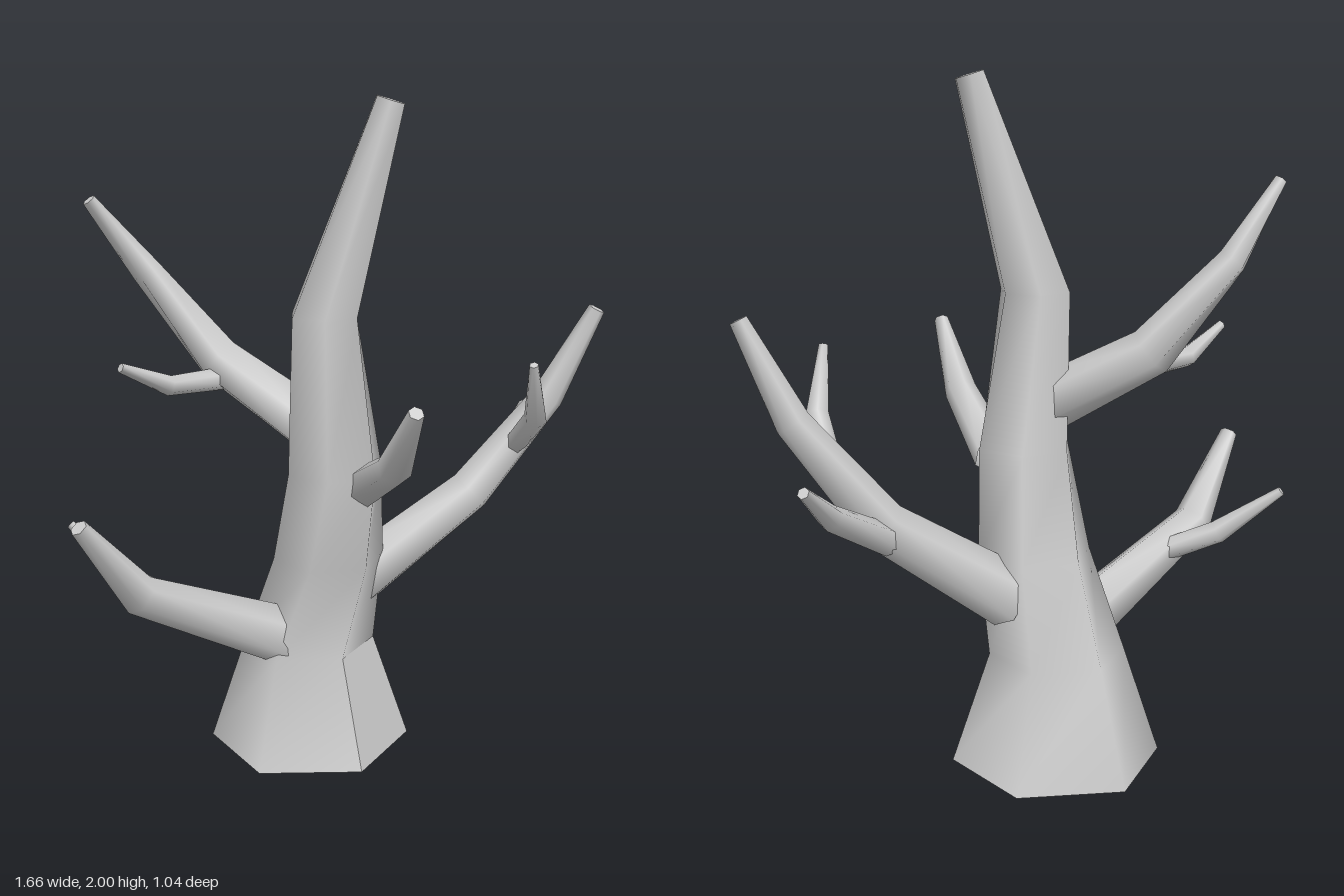
import * as THREE from 'three';

const SIDES = 6;
const material = new THREE.MeshStandardMaterial({ color: 0xcccccc, side: THREE.DoubleSide });

// Six-sided tapering limb. Each ring is [x, y, z, radius, twist].
// Smooth sides, flat tip, open base; flatPanel gives one lower facet hard edges.
function limbGeometry(rings, { level = false, flatPanel = -1 } = {}) {
  const centers = rings.map(([x, y, z]) => new THREE.Vector3(x, y, z));
  const reference = level ? new THREE.Vector3(0, 0, 1) : new THREE.Vector3(0, 1, 0);
  const last = rings.length - 1;
  const loops = rings.map((ring, i) => {
    const tangent = new THREE.Vector3(0, 1, 0);
    if (!level || i === last) {
      tangent.set(0, 0, 0);
      if (i > 0) tangent.add(centers[i].clone().sub(centers[i - 1]).normalize());
      if (i < last) tangent.add(centers[i + 1].clone().sub(centers[i]).normalize());
      tangent.normalize();
    }
    const v = reference.clone().addScaledVector(tangent, -reference.dot(tangent)).normalize();
    const u = tangent.clone().cross(v);
    return Array.from({ length: SIDES }, (_, k) => {
      const a = (k / SIDES) * Math.PI * 2 + (ring[4] ?? 0);
      return centers[i].clone()
        .addScaledVector(u, Math.sin(a) * ring[3])
        .addScaledVector(v, Math.cos(a) * ring[3]);
    });
  });

  const points = loops.flat();
  const index = [];
  const quad = (a, b, c, d) => index.push(a, b, c, a, c, d);
  for (let i = 0; i < last; i++) {
    for (let k = 0; k < SIDES; k++) {
      const n = (k + 1) % SIDES;
      const corners = [i * SIDES + k, i * SIDES + n, (i + 1) * SIDES + n, (i + 1) * SIDES + k];
      if (i === 0 && k === flatPanel) {
        const start = points.length;
        points.push(...corners.map((c) => points[c].clone()));
        quad(start, start + 1, start + 2, start + 3);
      } else quad(...corners);
    }
  }

  // Flat cut at the tip
  const cap = points.length;
  points.push(...loops[last].map((p) => p.clone()));
  for (let k = 1; k < SIDES - 1; k++) index.push(cap, cap + k, cap + k + 1);

  const geometry = new THREE.BufferGeometry().setFromPoints(points);
  geometry.setIndex(index);
  geometry.computeVertexNormals();
  return geometry;
}

const TRUNK = [
  [-0.03, 0, -0.19, 0.31, 0],
  [-0.03, 0.33, -0.19, 0.2, 0],
  [0, 0.62, -0.12, 0.17, 0.17],
  [-0.03, 0.92, -0.03, 0.147, 0.35],
  [-0.05, 1.38, -0.055, 0.107, 0.52],
  [0.11, 1.985, 0.04, 0.046, 0.52],
];

const BRANCHES = {
  // Large left branch and its two twigs
  leftBranch: [[0.1, 0.51, -0.14, 0.095], [0.47, 0.77, -0.04, 0.072], [0.68, 1.07, 0.07, 0.05], [0.785, 1.35, 0.16, 0.026]],
  leftBackTwig: [[0.46, 0.73, -0.06, 0.045], [0.7, 0.86, -0.15, 0.036], [0.82, 0.965, -0.222, 0.017]],
  leftFrontTwig: [[0.575, 0.93, 0.05, 0.034], [0.53, 1.05, 0.2, 0.036], [0.465, 1.233, 0.265, 0.014]],
  // Low right branch with a twig behind it
  rightBranch: [[-0.15, 0.38, -0.15, 0.09], [-0.62, 0.61, -0.14, 0.06], [-0.81, 0.86, -0.1, 0.026]],
  rightTwig: [[-0.46, 0.54, -0.16, 0.036], [-0.59, 0.61, -0.28, 0.036], [-0.705, 0.755, -0.43, 0.014]],
  // High back branch with a side twig
  backBranch: [[-0.08, 1.05, -0.08, 0.085], [-0.25, 1.22, -0.33, 0.072], [-0.41, 1.48, -0.48, 0.044], [-0.575, 1.697, -0.495, 0.02]],
  backTwig: [[-0.22, 1.17, -0.3, 0.036], [-0.44, 1.175, -0.28, 0.03], [-0.6, 1.252, -0.257, 0.014]],
  // Front branch
  frontBranch: [[0.02, 0.88, 0.05, 0.062], [-0.06, 1.02, 0.33, 0.05], [-0.105, 1.22, 0.498, 0.022]],
};

export function createModel() {
  const tree = new THREE.Group();
  tree.name = 'bareTree';
  const add = (name, geometry) => {
    const mesh = new THREE.Mesh(geometry, material);
    mesh.name = name;
    tree.add(mesh);
  };
  add('trunk', limbGeometry(TRUNK, { level: true, flatPanel: 0 }));
  for (const [name, rings] of Object.entries(BRANCHES)) add(name, limbGeometry(rings));
  return tree;
}
